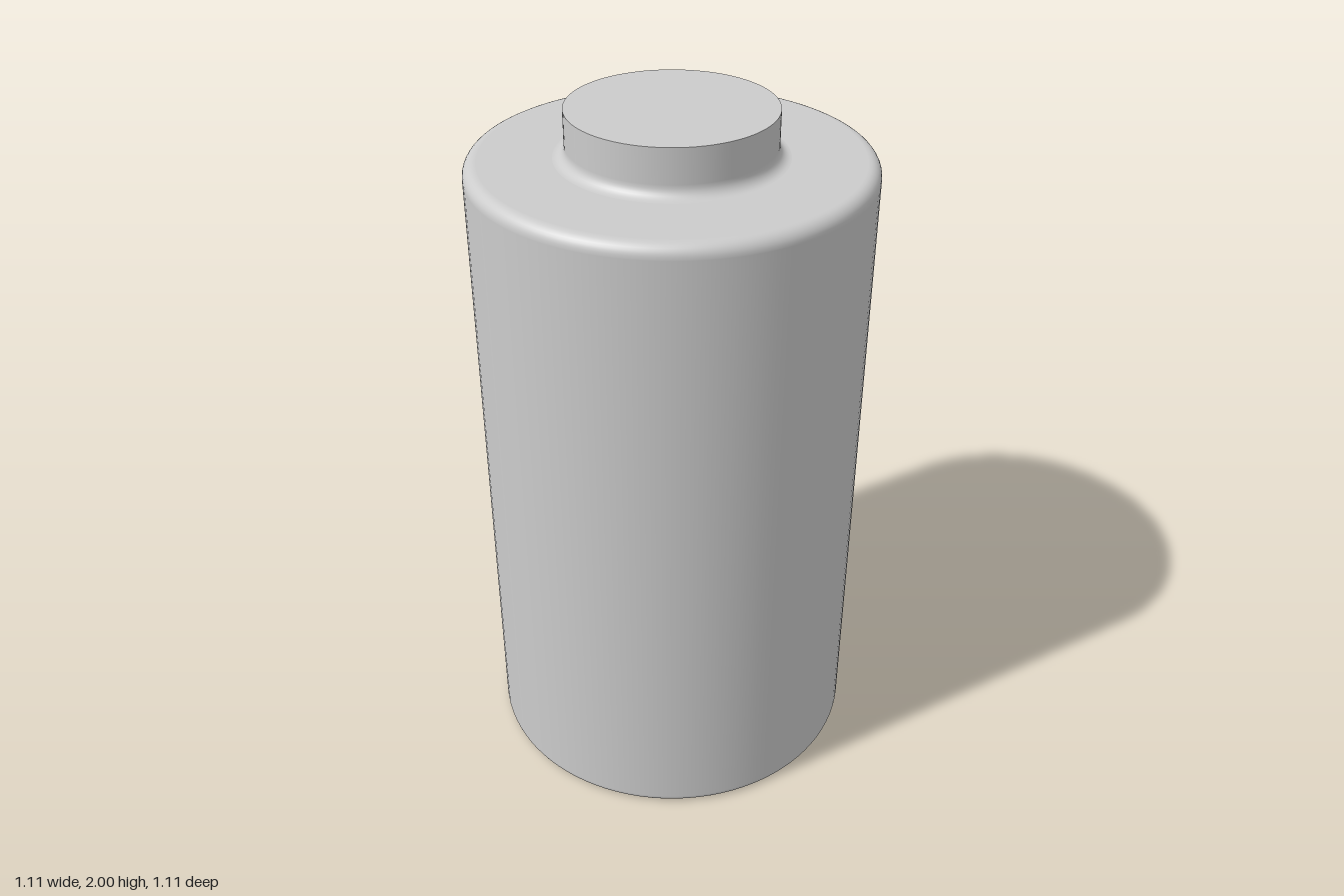
import * as THREE from 'three';

const SEGMENTS = 96;
const BODY_R = 0.553, BODY_TOP = 1.868;
const CAP_R = 0.284, CAP_TOP = 2;
const BOTTOM_ROUND = 0.02, TOP_ROUND = 0.035, FILLET = 0.032;
const EPS = 0.003; // support points keep the flats evenly shaded

// Points on a circular arc, angles in degrees
function arc(cx, cy, r, from, to, steps = 8) {
  return Array.from({ length: steps + 1 }, (_, i) => {
    const a = THREE.MathUtils.degToRad(from + (to - from) * i / steps);
    return new THREE.Vector2(cx + r * Math.cos(a), cy + r * Math.sin(a));
  });
}

const p = (x, y) => new THREE.Vector2(x, y);

export function createModel() {
  const group = new THREE.Group();
  group.name = 'battery';
  const material = new THREE.MeshStandardMaterial({ color: 0xcccccc });

  function addLathe(name, profile) {
    const mesh = new THREE.Mesh(new THREE.LatheGeometry(profile, SEGMENTS), material);
    mesh.name = name;
    group.add(mesh);
  }

  // Cylindrical can with rounded rims
  addLathe('body', [
    p(0, 0),
    p(BODY_R - BOTTOM_ROUND - EPS, 0),
    ...arc(BODY_R - BOTTOM_ROUND, BOTTOM_ROUND, BOTTOM_ROUND, -90, 0),
    p(BODY_R, BOTTOM_ROUND + EPS),
    p(BODY_R, BODY_TOP - TOP_ROUND - EPS),
    ...arc(BODY_R - TOP_ROUND, BODY_TOP - TOP_ROUND, TOP_ROUND, 0, 90),
    p(BODY_R - TOP_ROUND - EPS, BODY_TOP),
    p(CAP_R + FILLET, BODY_TOP),
  ]);

  // Terminal wall flaring into the can's shoulder
  addLathe('terminalWall', [
    ...arc(CAP_R + FILLET, BODY_TOP + FILLET, FILLET, 270, 180),
    p(CAP_R, BODY_TOP + FILLET + EPS),
    p(CAP_R, CAP_TOP),
  ]);

  // Flat terminal face with a crisp edge
  addLathe('terminalTop', [p(CAP_R, CAP_TOP), p(0, CAP_TOP)]);

  return group;
}
